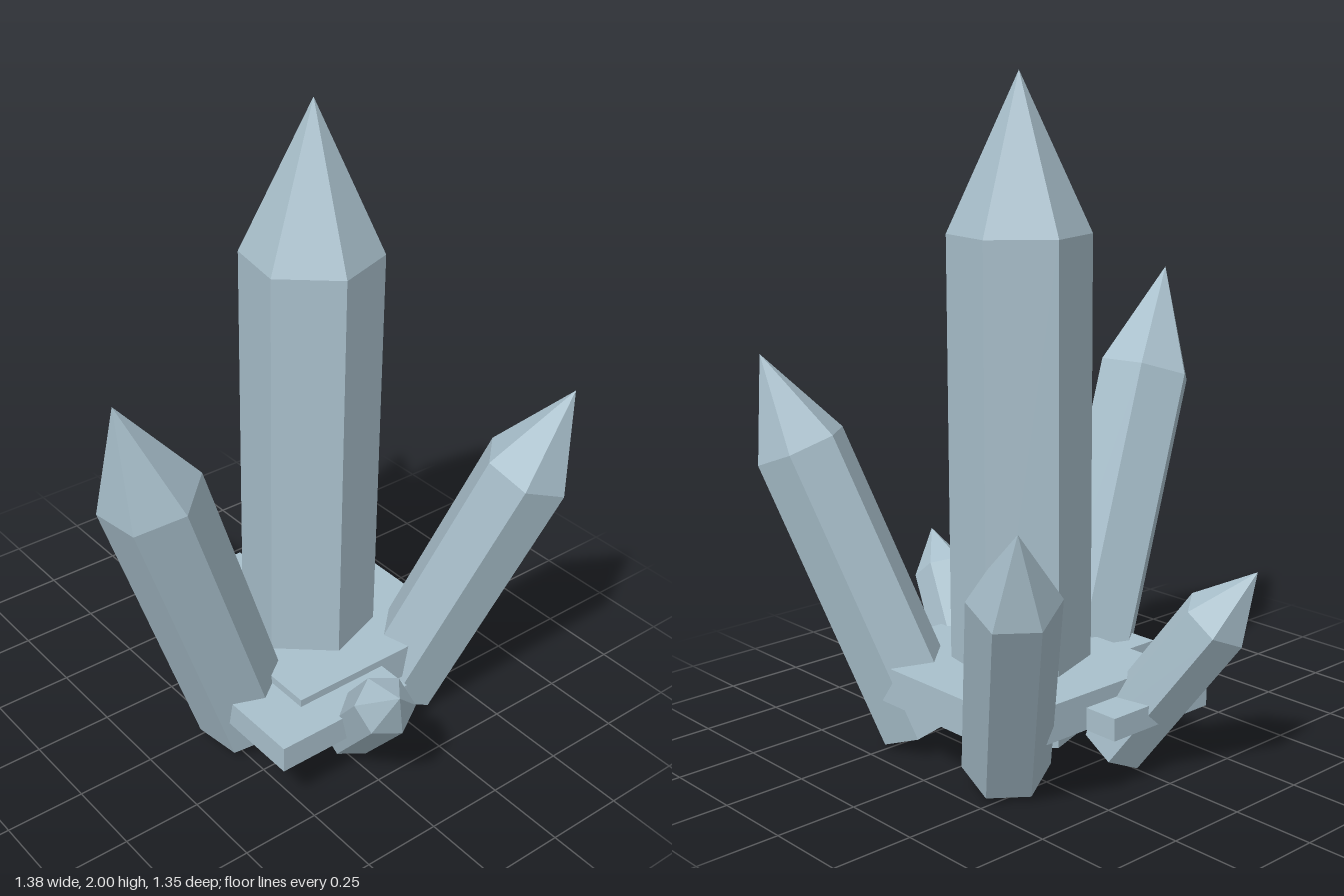
import * as THREE from 'three';

const V = (p) => new THREE.Vector3(...p);

// Six-sided prism with a pointed tip; "edge" points from the axis toward one of its long edges.
function crystalGeometry({ base, shoulder, tip, radius, edge }) {
  const b = V(base), s = V(shoulder), t = V(tip);
  const axis = s.clone().sub(b).normalize();
  const u = V(edge).projectOnPlane(axis).normalize();
  const v = axis.clone().cross(u);
  const ring = (center) => Array.from({ length: 6 }, (_, i) => {
    const a = (i * Math.PI) / 3;
    return center.clone()
      .addScaledVector(u, radius * Math.cos(a))
      .addScaledVector(v, radius * Math.sin(a));
  });
  const low = ring(b), high = ring(s), pts = [];
  for (let i = 0; i < 6; i++) {
    const j = (i + 1) % 6;
    pts.push(low[i], low[j], high[j], low[i], high[j], high[i]); // side
    pts.push(high[i], high[j], t); // tip facet
    pts.push(low[j], low[i], b); // underside
  }
  const g = new THREE.BufferGeometry().setFromPoints(pts);
  g.computeVertexNormals();
  return g;
}

const CRYSTALS = [
  { name: 'centralCrystal', base: [0.005, 0.06, -0.115], shoulder: [0.005, 1.545, -0.115],
    tip: [0.005, 2, -0.115], radius: 0.209, edge: [0.205, 0, 0.04] },
  { name: 'frontCrystal', base: [0.063, 0.07, 0.177], shoulder: [0.122, 1.055, 0.535],
    tip: [0.145, 1.375, 0.65], radius: 0.154, edge: [0.153, 0, -0.02] },
  { name: 'backLeftCrystal', base: [0.213, 0.062, -0.32], shoulder: [0.494, 0.912, -0.547],
    tip: [0.583, 1.185, -0.62], radius: 0.14, edge: [0.095, 0, 0.103] },
  { name: 'backRightCrystal', base: [-0.2, 0.07, -0.36], shoulder: [-0.472, 0.675, -0.571],
    tip: [-0.567, 0.885, -0.645], radius: 0.127, edge: [0.078, 0, -0.1] },
  { name: 'smallRightCrystal', base: [-0.28, 0.062, -0.004], shoulder: [-0.58, 0.49, 0.095],
    tip: [-0.69, 0.647, 0.135], radius: 0.105, edge: [-0.06, -0.022, -0.085] },
  { name: 'smallLeftCrystal', base: [0.32, 0.065, -0.035], shoulder: [0.582, 0.378, 0.06],
    tip: [0.685, 0.492, 0.1], radius: 0.092, edge: [0.043, -0.011, -0.08] },
];

// Flat rock slabs at the foot of the cluster: min and max corners
const SLABS = [
  { name: 'mainSlab', min: [-0.345, 0.17, -0.47], max: [0.325, 0.28, 0.165] },
  { name: 'rightSlab', min: [-0.457, 0.17, -0.185], max: [-0.17, 0.237, 0.2] },
  { name: 'leftSlab', min: [-0.132, 0.17, -0.153], max: [0.442, 0.255, 0.32] },
];

export function createModel() {
  const model = new THREE.Group();
  model.name = 'crystalCluster';
  const material = new THREE.MeshStandardMaterial({ color: 0xa9c0cc });
  material.name = 'paleBlueCrystal';
  material.flatShading = true;

  for (const c of CRYSTALS) {
    const mesh = new THREE.Mesh(crystalGeometry(c), material);
    mesh.name = c.name;
    model.add(mesh);
  }

  for (const { name, min, max } of SLABS) {
    const box = new THREE.Box3(V(min), V(max));
    const size = box.getSize(new THREE.Vector3());
    const mesh = new THREE.Mesh(new THREE.BoxGeometry(size.x, size.y, size.z), material);
    box.getCenter(mesh.position);
    mesh.name = name;
    model.add(mesh);
  }
  return model;
}
